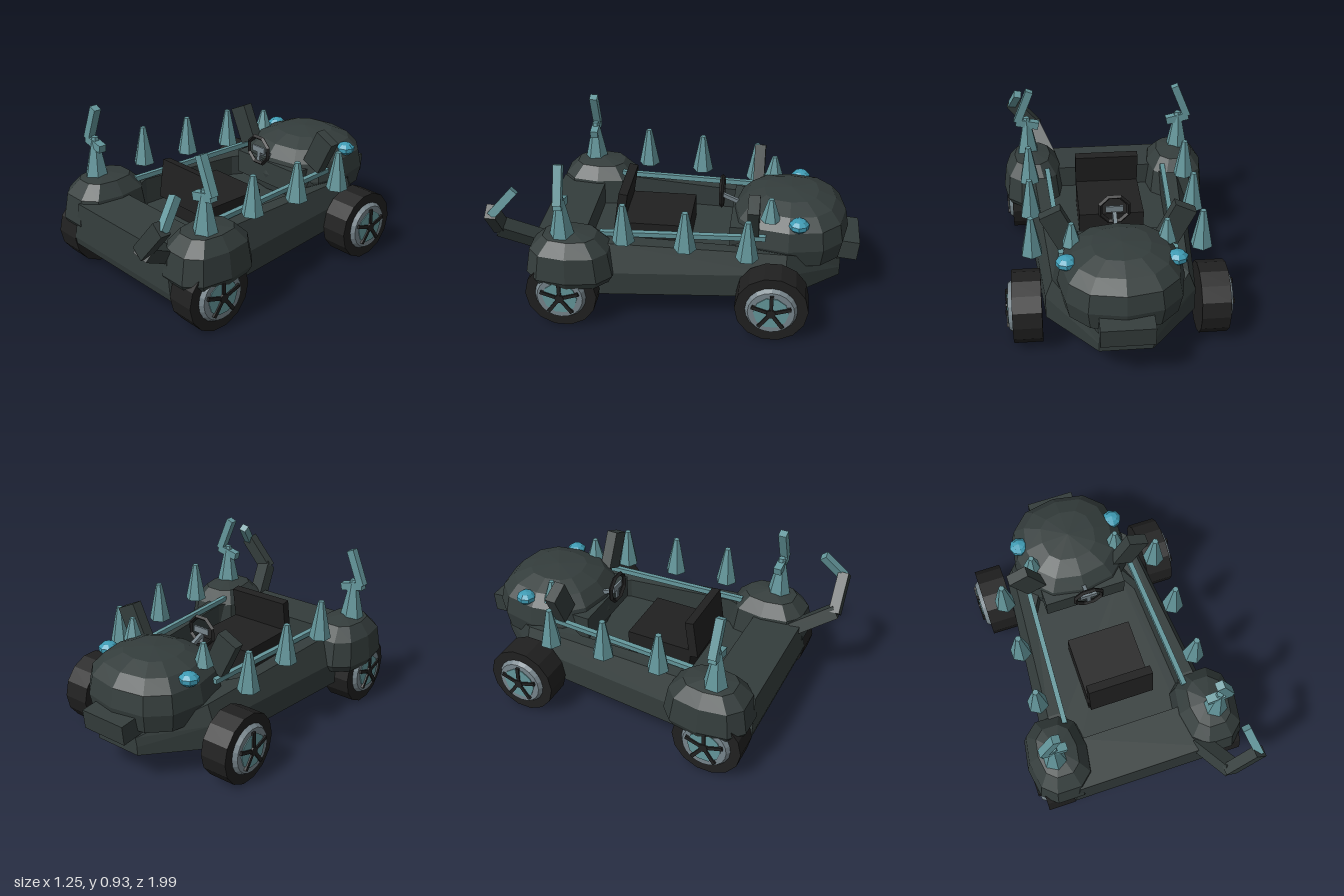
import * as THREE from 'three';

const paint = (name, color) => {
  const m = new THREE.MeshStandardMaterial({ color });
  m.name = name;
  m.flatShading = true;
  return m;
};

export function createModel() {
  const body = paint('dark green grey', 0x343d3c);
  const black = paint('rubber black', 0x202020);
  const teal = paint('dull teal', 0x64979c);
  const lampBlue = paint('lamp blue', 0x3f9db6);
  const grey = paint('rim grey', 0x77858c);
  const car = new THREE.Group();
  car.name = 'spikedCar';

  const add = (name, geo, mat, x = 0, y = 0, z = 0, parent = car) => {
    const m = new THREE.Mesh(geo, mat);
    m.name = name;
    m.position.set(x, y, z);
    parent.add(m);
    return m;
  };
  const box = (w, h, d) => new THREE.BoxGeometry(w, h, d);

  // straight bar between two points
  const bar = (name, a, b, w, d, mat) => {
    const p = new THREE.Vector3(...a), q = new THREE.Vector3(...b);
    const dir = q.clone().sub(p);
    const c = p.clone().add(q).multiplyScalar(0.5);
    const m = add(name, box(w, dir.length(), d), mat, c.x, c.y, c.z);
    m.quaternion.setFromUnitVectors(new THREE.Vector3(0, 1, 0), dir.normalize());
    return m;
  };

  // squared-off low-poly dome with a flat underside
  const dome = (rx, ry, rz, power, floor, sides, rows) => {
    const g = new THREE.SphereGeometry(1, sides, rows);
    const p = g.attributes.position;
    const bulge = (v) => Math.sign(v) * Math.abs(v) ** power;
    for (let i = 0; i < p.count; i++) {
      p.setXYZ(i, bulge(p.getX(i)) * rx, Math.max(bulge(p.getY(i)) * ry, floor), bulge(p.getZ(i)) * rz);
    }
    return g;
  };

  // hull: mirrored loops [x, y, z] from the keel up the sides and down into the tub
  const loops = [
    [[0.14, 0.165, -0.9], [0.4, 0.165, -0.6], [0.49, 0.165, 0.4], [0.42, 0.165, 0.79]],
    [[0.14, 0.215, -0.9], [0.4, 0.3, -0.6], [0.49, 0.3, 0.4], [0.42, 0.21, 0.8]],
    [[0.13, 0.265, -0.9], [0.36, 0.41, -0.6], [0.43, 0.455, 0.35], [0.38, 0.425, 0.79]],
    [[0.25, 0.42, -0.4], [0.31, 0.42, -0.29], [0.34, 0.455, 0.35], [0.3, 0.43, 0.52]],
    [[0.25, 0.3, -0.4], [0.31, 0.3, -0.29], [0.34, 0.3, 0.35], [0.3, 0.3, 0.52]],
  ].map((half) => [...half, ...half.slice().reverse().map(([x, y, z]) => [-x, y, z])]);
  const tri = [];
  const n = 8;
  for (let r = 0; r < loops.length - 1; r++) {
    for (let i = 0; i < n; i++) {
      const j = (i + 1) % n;
      const a = loops[r][i], b = loops[r][j], c = loops[r + 1][j], d = loops[r + 1][i];
      tri.push(a, d, c, a, c, b);
    }
  }
  for (let i = 1; i < n - 1; i++) {
    tri.push(loops[0][0], loops[0][i], loops[0][i + 1]);
    tri.push(loops[4][0], loops[4][i + 1], loops[4][i]);
  }
  const hull = new THREE.BufferGeometry();
  hull.setAttribute('position', new THREE.Float32BufferAttribute(tri.flat(), 3));
  hull.computeVertexNormals();
  add('hull', hull, body);

  // rounded nose and its bumper
  add('hood', dome(0.335, 0.225, 0.33, 0.8, -0.11, 12, 8), body, 0, 0.41, -0.605);
  const bumper = add('noseBumper', box(0.28, 0.11, 0.16), body, 0, 0.33, -0.915);
  bumper.rotation.x = -0.1;
  add('dashboard', box(0.48, 0.14, 0.1), body, 0, 0.42, -0.33);

  // seat
  add('seatBase', box(0.37, 0.145, 0.38), black, 0, 0.372, 0.14);
  const seatBack = add('seatBack', box(0.37, 0.22, 0.05), black, 0, 0.515, 0.335);
  seatBack.rotation.x = -0.15;

  // steering wheel
  add('steeringWheel', new THREE.TorusGeometry(0.083, 0.013, 4, 8), black, 0, 0.582, -0.217).rotation.z = Math.PI / 8;
  add('steeringHub', box(0.1, 0.035, 0.012), grey, 0, 0.585, -0.22);
  add('steeringSpoke', box(0.025, 0.08, 0.01), grey, 0, 0.545, -0.22);
  bar('steeringColumn', [0, 0.56, -0.22], [0, 0.5, -0.36], 0.022, 0.022, grey);

  const spike = (name, x, y, z, h, r) =>
    add(name, new THREE.CylinderGeometry(r * 0.28, r, h, 6), teal, x, y + h / 2, z);

  for (const s of [1, -1]) {
    const side = s > 0 ? 'left' : 'right';

    // rear fender and wheel well
    add(side + 'RearFender', dome(0.183, 0.24, 0.245, 0.75, -0.04, 10, 6), body, s * 0.44, 0.3, 0.565);
    add(side + 'WheelWell', new THREE.SphereGeometry(1, 6, 4), body, s * 0.39, 0.23, 0.52).scale.set(0.1, 0.11, 0.14);

    // side rail
    bar(side + 'Rail', [s * 0.305, 0.475, -0.48], [s * 0.352, 0.475, 0.42], 0.028, 0.028, teal);

    // spikes
    [[0.27, 0.5], [-0.06, 0.475], [-0.39, 0.44]].forEach(([z, y]) =>
      spike(side + 'SideSpike', s * 0.46, y, z, 0.22, 0.062));
    spike(side + 'HoodSpike', s * 0.25, 0.56, -0.5, 0.128, 0.055);
    spike(side + 'FenderSpike', s * 0.465, 0.52, 0.6, 0.23, 0.068);
    bar(side + 'HookArm', [s * 0.395, 0.695, 0.6], [s * 0.53, 0.725, 0.6], 0.045, 0.045, teal);
    bar(side + 'HookTip', [s * 0.522, 0.725, 0.6], [s * 0.44, 0.925, 0.6], 0.045, 0.045, teal);

    // head lamp and tilted plate
    add(side + 'Lamp', new THREE.SphereGeometry(1, 8, 5), lampBlue, s * 0.285, 0.555, -0.655).scale.set(0.058, 0.038, 0.056);
    add(side + 'TiltedPlate', box(0.125, 0.22, 0.062), body, s * 0.31, 0.61, -0.412).rotation.z = -s * 0.45;

    // wheels: the hub axis runs along local y, turned to point outwards
    for (const [end, z] of [['Front', -0.533], ['Rear', 0.605]]) {
      const wheel = new THREE.Group();
      wheel.name = side + end + 'Wheel';
      wheel.position.set(s * 0.498, 0.197, z);
      wheel.rotation.z = -s * Math.PI / 2;
      car.add(wheel);
      add('tyre', new THREE.CylinderGeometry(0.197, 0.197, 0.155, 14), black, 0, 0, 0, wheel);
      add('rim', new THREE.CylinderGeometry(0.125, 0.145, 0.03, 20), grey, 0, 0.085, 0, wheel);
      add('rimDisc', new THREE.CylinderGeometry(0.095, 0.095, 0.006, 10), teal, 0, 0.102, 0, wheel);
      add('hub', new THREE.CylinderGeometry(0.025, 0.03, 0.03, 10), black, 0, 0.1, 0, wheel);
      for (let i = 0; i < 5; i++) {
        const a = (i / 5) * Math.PI * 2;
        // spoke 0 points up on both sides
        const spoke = add('spoke', box(0.1, 0.016, 0.02), black,
          -s * Math.cos(a) * 0.06, 0.105, Math.sin(a) * 0.06, wheel);
        spoke.rotation.y = s * a;
      }
    }
  }

  // jointed arm at the left rear corner
  bar('lowerArm', [0.33, 0.39, 0.74], [0.425, 0.52, 0.955], 0.085, 0.075, body);
  bar('upperArm', [0.41, 0.51, 0.955], [0.56, 0.69, 0.945], 0.08, 0.06, body);
  bar('armTip', [0.56, 0.67, 0.945], [0.515, 0.8, 0.825], 0.045, 0.045, teal);

  return car;
}
